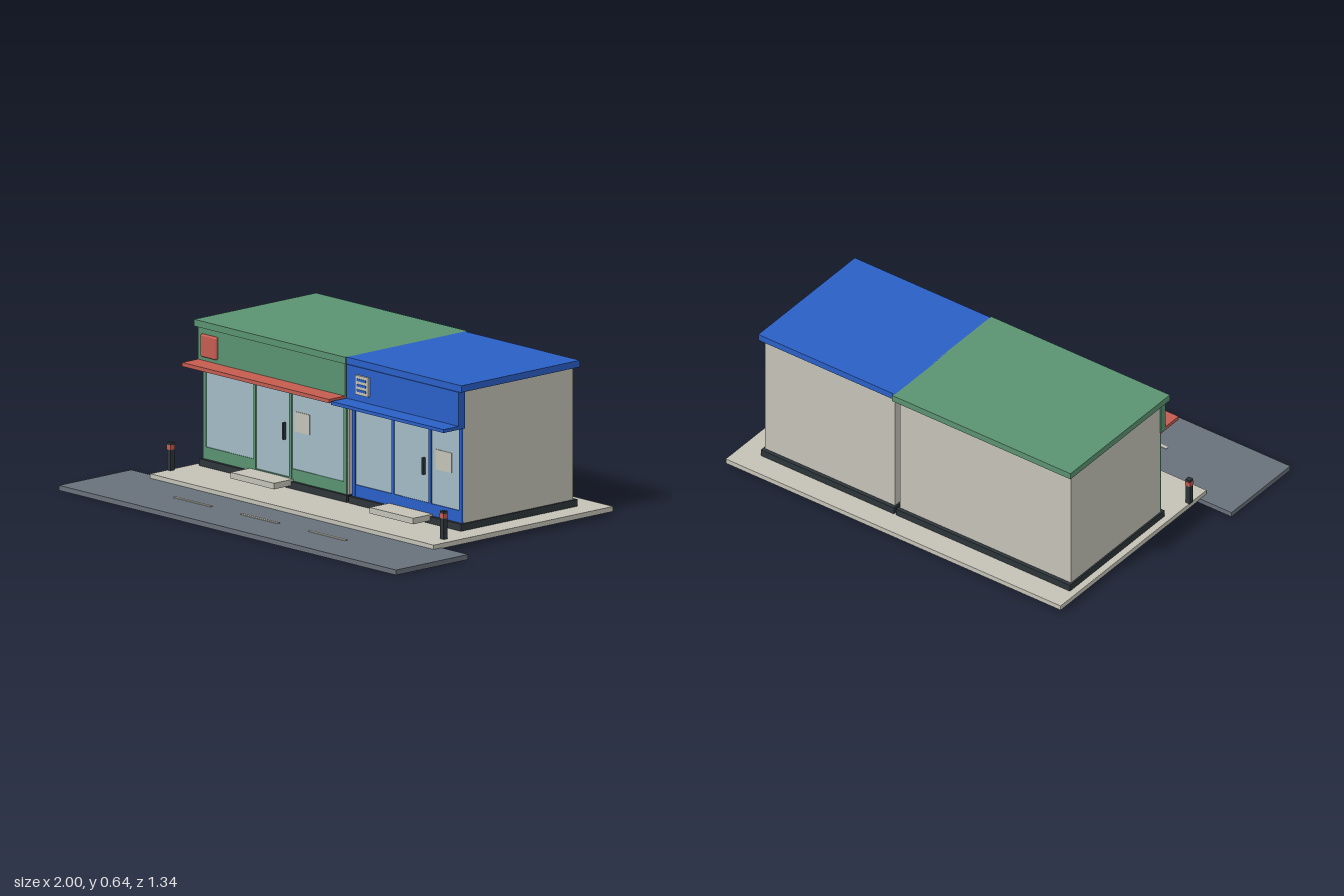
import * as THREE from 'three';
import { RoundedBoxGeometry } from 'three/addons/geometries/RoundedBoxGeometry.js';

const mat = (name, color) => {
  const m = new THREE.MeshStandardMaterial({ color });
  m.name = name;
  return m;
};

export function createModel() {
  const M = {
    green: mat('shop green', 0x5a9272),
    blue: mat('shop blue', 0x2a5fc6),
    red: mat('accent red', 0xc45c50),
    stone: mat('pale concrete', 0xc4c2b7),
    asphalt: mat('asphalt grey', 0x68707a),
    dark: mat('dark plinth', 0x2d3539),
    glass: mat('window glass', 0xa2bac5),
  };

  // Box given by its extents along x, y and z
  const box = (parent, name, material, x0, x1, y0, y1, z0, z1) => {
    const mesh = new THREE.Mesh(new THREE.BoxGeometry(x1 - x0, y1 - y0, z1 - z0), material);
    mesh.position.set((x0 + x1) / 2, (y0 + y1) / 2, (z0 + z1) / 2);
    mesh.name = name;
    parent.add(mesh);
    return mesh;
  };
  const group = (parent, name) => {
    const g = new THREE.Group();
    g.name = name;
    parent.add(g);
    return g;
  };

  const model = new THREE.Group();
  model.name = 'shopRow';

  // Road, lane dashes and pavement
  box(model, 'road', M.asphalt, -1, 1, 0, 0.021, 0.273, 0.67);
  for (const x of [-0.42, -0.023, 0.378]) {
    box(model, 'laneDash', M.stone, x - 0.11, x + 0.11, 0.02, 0.024, 0.463, 0.477);
  }
  box(model, 'pavement', M.stone, -0.842, 0.842, 0.018, 0.039, -0.67, 0.316);

  // One shop: walls, plinth, roof, fascia, canopy, glazed front and step
  const shop = (s) => {
    const g = group(model, s.name);
    const { x0, x1, color } = s;
    box(g, 'plinth', M.dark, x0 - 0.007, x1 + 0.007, 0.038, 0.068, -0.567, 0.073);
    box(g, 'walls', M.stone, x0, x1, 0.066, 0.62, -0.55, 0.052);
    box(g, 'roof', color, s.roof[0], s.roof[1], 0.617, 0.645, s.roof[2], s.roof[3]);
    box(g, 'fascia', color, x0 - 0.007, x1 + 0.005, 0.47, 0.617, 0.05, s.fasciaZ);
    box(g, 'canopy', s.canopy, x0 - 0.007, x1 + 0.005, s.canopyY[0], s.canopyY[1], 0.05, 0.168);

    // Glazed front: panes set back between posts, low panels beside the door
    const front = group(g, 'shopFront');
    const [f0, f1] = s.front;
    const [d0, d1] = s.door;
    box(front, 'glass', M.glass, f0, f1, 0.075, 0.465, 0.05, 0.055);
    const posts = [[f0, f0 + 0.018], [d0 - 0.007, d0 + 0.007], [d1 - 0.007, d1 + 0.007], [f1 - 0.018, f1]];
    for (const [a, b] of posts) box(front, 'post', color, a, b, 0.068, 0.47, 0.05, 0.06);
    for (const [a, b] of [[f0, d0], [d1, f1]]) {
      box(front, 'lowPanel', color, a, b, 0.068, 0.118, 0.05, 0.059);
    }
    box(front, 'doorSill', color, d0, d1, 0.068, s.sill, 0.05, 0.059);
    box(front, 'topRail', color, f0, f1, 0.455, 0.472, 0.05, 0.059);
    box(front, 'doorHandle', M.dark, d1 - 0.039, d1 - 0.031, 0.232, 0.302, 0.054, 0.069);
    const [p0, p1, q0, q1] = s.poster;
    box(front, 'poster', M.stone, p0, p1, q0, q1, 0.054, 0.058);

    box(g, 'doorStep', M.stone, s.step[0], s.step[1], 0.051, 0.076, 0.06, 0.166);
    return g;
  };

  const greenShop = shop({
    name: 'greenShop', x0: -0.805, x1: 0.056, color: M.green, canopy: M.red,
    roof: [-0.829, 0.069, -0.586, 0.086], fasciaZ: 0.08, canopyY: [0.466, 0.482],
    front: [-0.805, 0.048], door: [-0.498, -0.285], sill: 0.08,
    poster: [-0.262, -0.175, 0.275, 0.358], step: [-0.527, -0.268],
  });
  const blueShop = shop({
    name: 'blueShop', x0: 0.08, x1: 0.735, color: M.blue, canopy: M.blue,
    roof: [0.063, 0.75, -0.574, 0.079], fasciaZ: 0.084, canopyY: [0.462, 0.476],
    front: [0.082, 0.733], door: [0.322, 0.542], sill: 0.118,
    poster: [0.573, 0.67, 0.265, 0.348], step: [0.3, 0.558],
  });

  // Rounded red sign on the green fascia
  const sign = new THREE.Mesh(new RoundedBoxGeometry(0.095, 0.095, 0.018, 3, 0.008), M.red);
  sign.position.set(-0.737, 0.547, 0.087);
  sign.name = 'redSign';
  greenShop.add(sign);

  // Pale sign with three bars on the blue fascia
  box(blueShop, 'paleSign', M.stone, 0.135, 0.212, 0.505, 0.585, 0.08, 0.094);
  for (const y of [0.523, 0.545, 0.567]) {
    box(blueShop, 'signBar', M.blue, 0.147, 0.2, y - 0.005, y + 0.005, 0.092, 0.097);
  }

  // Square bollards with a red band
  for (const x of [-0.834, 0.788]) {
    const b = group(model, 'bollard');
    box(b, 'post', M.dark, x - 0.011, x + 0.011, 0.038, 0.155, 0.199, 0.221);
    box(b, 'band', M.red, x - 0.012, x + 0.012, 0.125, 0.145, 0.198, 0.222);
  }

  return model;
}
